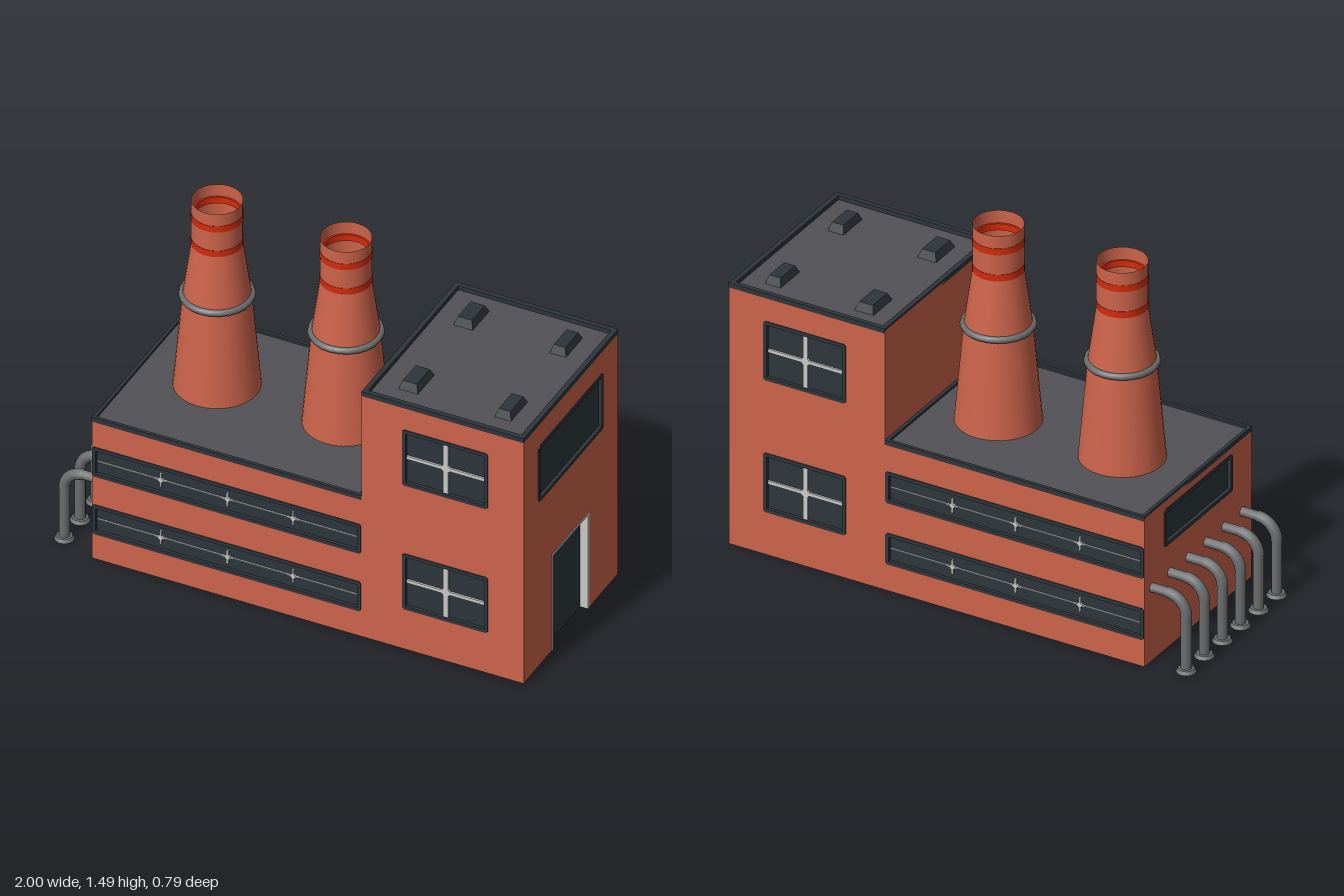
import * as THREE from 'three';

const paint = (name, color, side = THREE.FrontSide) => {
  const m = new THREE.MeshStandardMaterial({ color, side });
  m.name = name;
  return m;
};
const brick = paint('brick', 0xcd644b, THREE.DoubleSide);
const red = paint('warningRed', 0xd42c0c);
const dark = paint('darkTrim', 0x2d363b, THREE.DoubleSide);
const roofGrey = paint('roofGrey', 0x525155, THREE.DoubleSide);
const steel = paint('steel', 0x6b6d6e, THREE.DoubleSide);
const light = paint('lightTrim', 0xc9cac6);

const LEFT = -0.81, STEP = 0.32, RIGHT = 1, DEPTH = 0.393, LOW = 0.64, HIGH = 1.12;

function add(parent, name, geometry, material, x = 0, y = 0, z = 0) {
  const mesh = new THREE.Mesh(geometry, material);
  mesh.name = name;
  mesh.position.set(x, y, z);
  parent.add(mesh);
  return mesh;
}

const box = (parent, name, mat, w, h, d, x, y, z) =>
  add(parent, name, new THREE.BoxGeometry(w, h, d), mat, x, y, z);

function group(parent, name) {
  const g = new THREE.Group();
  g.name = name;
  parent.add(g);
  return g;
}

const polygon = (pts) => new THREE.Shape(pts.map(([x, y]) => new THREE.Vector2(x, y)));

// Rectangle outline with small chamfered corners
function panel(x0, x1, y0, y1, c = 0) {
  return c === 0
    ? polygon([[x0, y0], [x1, y0], [x1, y1], [x0, y1]])
    : polygon([[x0 + c, y0], [x1 - c, y0], [x1, y0 + c], [x1, y1 - c],
      [x1 - c, y1], [x0 + c, y1], [x0, y1 - c], [x0, y0 + c]]);
}

// Wall sheet with openings, outer surface at local z = 0
function wallSheet(parent, name, shape, openings) {
  for (const [x0, x1, y0, y1] of openings) {
    shape.holes.push(panel(x0 + 0.008, x1 - 0.008, y0 + 0.008, y1 - 0.008));
  }
  add(parent, name, new THREE.ShapeGeometry(shape), brick);
}

// Raised frame around a recessed pane
function windowUnit(parent, x0, x1, y0, y1) {
  const g = group(parent, 'window');
  const b = 0.015;
  const frame = panel(x0, x1, y0, y1, 0.008);
  frame.holes.push(panel(x0 + b, x1 - b, y0 + b, y1 - b));
  add(g, 'windowFrame', new THREE.ExtrudeGeometry(frame, { depth: 0.018, bevelEnabled: false }), dark, 0, 0, -0.014);
  add(g, 'windowPane', new THREE.ShapeGeometry(panel(x0 + b, x1 - b, y0 + b, y1 - b)), dark, 0, 0, -0.01);
  return g;
}

// Crossed glazing bars with a small diamond at the centre
function cross(parent, x, y, w, h, t, d) {
  box(parent, 'glazingBar', light, w, t * 0.7, 0.008, x, y, -0.006);
  box(parent, 'glazingBar', light, t, h, 0.008, x, y, -0.006);
  box(parent, 'glazingDiamond', light, d, d, 0.008, x, y, -0.006).rotation.z = Math.PI / 4;
}

// Front and back walls: low hall with window strips, tower with square windows
function longWall(parent, name, s) {
  const g = group(parent, name);
  g.position.z = s * DEPTH;
  g.rotation.y = s > 0 ? 0 : Math.PI;
  const span = (a, b) => (s > 0 ? [a, b] : [-b, -a]);
  const strips = [[0.38, 0.515], [0.115, 0.25]].map((y) => [...span(LEFT + 0.001, STEP - 0.002), ...y]);
  const squares = [[0.755, 1.01], [0.185, 0.44]].map((y) => [...span(0.49, 0.85), ...y]);
  const outline = polygon([[LEFT, 0], [RIGHT, 0], [RIGHT, HIGH], [STEP, HIGH], [STEP, LOW], [LEFT, LOW]]
    .map(([x, y]) => [s * x, y]));
  wallSheet(g, 'longWallSheet', outline, [...strips, ...squares]);
  for (const r of strips) {
    const w = windowUnit(g, ...r), y = (r[2] + r[3]) / 2;
    box(w, 'stripBar', light, 1.09, 0.004, 0.006, (r[0] + r[1]) / 2, y, -0.007);
    for (const x of [-0.525, -0.245, 0.03]) cross(w, s * x, y, 0.05, 0.06, 0.008, 0.02);
  }
  for (const r of squares) {
    cross(windowUnit(g, ...r), (r[0] + r[1]) / 2, (r[2] + r[3]) / 2, 0.325, 0.225, 0.02, 0.035);
  }
}

// Tower end wall with one wide window and the recessed door
function doorWall(parent) {
  const g = group(parent, 'doorWall');
  g.position.x = RIGHT - 0.002;
  g.rotation.y = Math.PI / 2;
  const win = [-0.27, 0.27, 0.755, 1.01], w = 0.155, h = 0.442;
  const outline = polygon([[-DEPTH, 0], [-w, 0], [-w, h], [w, h], [w, 0], [DEPTH, 0], [DEPTH, HIGH], [-DEPTH, HIGH]]);
  wallSheet(g, 'doorWallSheet', outline, [win]);
  windowUnit(g, ...win);
  add(g, 'door', new THREE.ShapeGeometry(panel(-w, w, 0, h)), dark, 0, 0, -0.032);
  for (const s of [-1, 1]) box(g, 'doorJamb', light, 0.01, h, 0.034, s * (w - 0.005), h / 2, -0.015);
  box(g, 'doorLintel', light, 2 * w, 0.01, 0.034, 0, h - 0.005, -0.015);
}

// Hall end wall with its high window
function pipeWall(parent) {
  const g = group(parent, 'pipeWall');
  g.position.x = LEFT;
  g.rotation.y = -Math.PI / 2;
  const win = [-0.25, 0.25, 0.445, 0.605];
  wallSheet(g, 'pipeWallSheet', panel(-DEPTH, DEPTH, 0, LOW), [win]);
  windowUnit(g, ...win);
}

// Flat roof sunk inside a dark rim
function roof(parent, name, x0, x1, top, rimWidth, sink) {
  const g = group(parent, name), d = DEPTH + 0.003;
  const rim = panel(x0, x1, -d, d);
  rim.holes.push(panel(x0 + rimWidth, x1 - rimWidth, -d + rimWidth, d - rimWidth));
  const geo = new THREE.ExtrudeGeometry(rim, { depth: 0.02, bevelEnabled: false });
  geo.rotateX(-Math.PI / 2);
  add(g, 'roofRim', geo, dark, 0, top - 0.02, 0);
  box(g, 'roofDeck', roofGrey, x1 - x0 - 0.008, 0.008, 2 * DEPTH - 0.008, (x0 + x1) / 2, top - sink, 0);
}

// Roof vent: a box narrowed towards its top
function vent(parent, x, z, w) {
  const geo = new THREE.BoxGeometry(w, 0.045, 0.15);
  const p = geo.attributes.position;
  for (let i = 0; i < p.count; i++) {
    if (p.getY(i) > 0) p.setXYZ(i, p.getX(i) * 0.65, p.getY(i), p.getZ(i) * 0.72);
  }
  geo.computeVertexNormals();
  add(parent, 'roofVent', geo, dark, x, 1.1225, z);
}

// Tapered chimney with steel collar and two red bands
function chimney(parent, x) {
  const g = group(parent, 'chimney');
  g.position.set(x, 0, -0.025);
  const tube = (r0, r1, y0, y1) => add(g, 'chimneyShaft',
    new THREE.CylinderGeometry(r1, r0, y1 - y0, 32, 1, true), brick, 0, (y0 + y1) / 2, 0);
  tube(0.168, 0.131, 0.63, 1.05);
  tube(0.131, 0.098, 1.05, 1.29);
  tube(0.098, 0.098, 1.29, 1.485);
  add(g, 'chimneyFloor', new THREE.CircleGeometry(0.16, 32), brick, 0, 0.66, 0).rotation.x = -Math.PI / 2;
  add(g, 'collar', new THREE.TorusGeometry(0.132, 0.014, 8, 24), steel, 0, 1.055, 0).rotation.x = Math.PI / 2;
  for (const y of [1.29, 1.403]) {
    const ring = [[0.09, 0], [0.0995, 0], [0.0995, 0.028], [0.09, 0.028], [0.09, 0]];
    // Each side of the ring is its own lathe so its edges stay sharp
    for (let i = 0; i < 4; i++) {
      const side = [ring[i], ring[i + 1]].map(([r, h]) => new THREE.Vector2(r, h));
      add(g, 'redBand', new THREE.LatheGeometry(side, 32), red, 0, y, 0);
    }
  }
}

// Pipe leaving the wall, bending down to a floor flange
function pipe(parent, z) {
  const g = group(parent, 'pipe');
  g.position.z = z;
  const px = -0.96, py = 0.317, bend = 0.08;
  const run = add(g, 'pipeRun', new THREE.CylinderGeometry(0.019, 0.019, 0.09, 12, 1, true), steel, -0.84, py, 0);
  run.rotation.z = Math.PI / 2;
  const elbow = new THREE.TorusGeometry(bend, 0.022, 12, 8, Math.PI / 2);
  add(g, 'pipeElbow', elbow, steel, px + bend, py - bend, 0).rotation.z = Math.PI / 2;
  add(g, 'pipeDrop', new THREE.CylinderGeometry(0.021, 0.021, py - bend, 12, 1, true), steel, px, (py - bend) / 2, 0);
  add(g, 'pipeFlange', new THREE.CylinderGeometry(0.032, 0.04, 0.014, 12), steel, px, 0.007, 0);
}

export function createModel() {
  const factory = new THREE.Group();
  factory.name = 'factory';
  longWall(factory, 'frontWall', 1);
  longWall(factory, 'backWall', -1);
  doorWall(factory);
  pipeWall(factory);
  box(factory, 'towerStepWall', brick, 0.004, HIGH - LOW + 0.02, 2 * DEPTH, STEP + 0.002, (HIGH + LOW) / 2 - 0.01, 0);
  roof(factory, 'hallRoof', LEFT, STEP, 0.65, 0.014, 0.014);
  roof(factory, 'towerRoof', STEP, RIGHT, 1.13, 0.02, 0.022);
  for (const z of [-0.235, 0.225]) {
    vent(factory, 0.465, z, 0.09);
    vent(factory, 0.862, z, 0.075);
  }
  for (const x of [-0.495, 0.045]) chimney(factory, x);
  for (let i = 0; i < 6; i++) pipe(factory, -0.338 + i * 0.1325);
  return factory;
}
